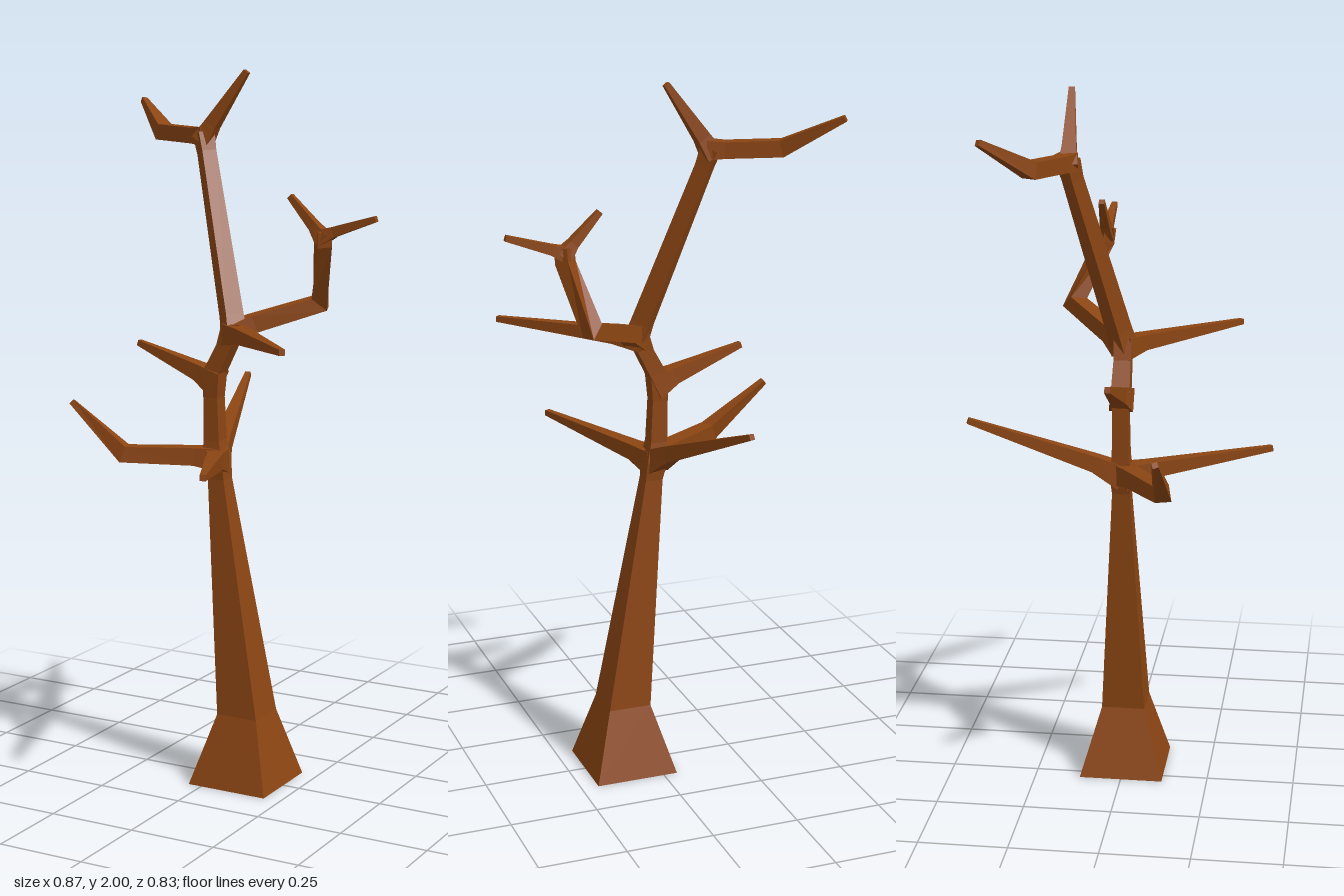
import * as THREE from 'three';

const bark = new THREE.MeshStandardMaterial({ color: 0x8b4513, flatShading: true });

// Skins a list of four-cornered rings and caps both ends.
function skin(name, rings) {
  const pos = [];
  const quad = (a, b, c, d) => [a, b, c, a, c, d].forEach(p => pos.push(p.x, p.y, p.z));
  for (let i = 0; i < rings.length - 1; i++) {
    for (let k = 0; k < 4; k++) {
      const n = (k + 1) % 4;
      quad(rings[i][k], rings[i][n], rings[i + 1][n], rings[i + 1][k]);
    }
  }
  const first = rings[0], last = rings[rings.length - 1];
  quad(first[3], first[2], first[1], first[0]);
  quad(last[0], last[1], last[2], last[3]);
  const geo = new THREE.BufferGeometry();
  geo.setAttribute('position', new THREE.Float32BufferAttribute(pos, 3));
  geo.computeVertexNormals();
  const mesh = new THREE.Mesh(geo, bark);
  mesh.name = name;
  return mesh;
}

const corners = [[1, 1], [-1, 1], [-1, -1], [1, -1]];

// Square limb along [x, y, z, half width] points, mitred at each bend.
function limb(name, path) {
  const pts = path.map(p => new THREE.Vector3(p[0], p[1], p[2]));
  const dirs = pts.slice(1).map((p, i) => p.clone().sub(pts[i]).normalize());
  let side = dirs[0].clone().cross(new THREE.Vector3(0, 1, 0)).normalize();
  const rings = pts.map((p, i) => {
    const d = dirs[Math.max(i - 1, 0)];
    const plane = d.clone().add(dirs[Math.min(i, dirs.length - 1)]).normalize();
    side = side.clone().addScaledVector(d, -side.dot(d)).normalize();
    const up = side.clone().cross(d);
    return corners.map(([a, b]) => {
      const o = side.clone().multiplyScalar(a * path[i][3]).addScaledVector(up, b * path[i][3]);
      o.addScaledVector(d, -o.dot(plane) / d.dot(plane));
      return o.add(p);
    });
  });
  // Corner order runs counter-clockwise around the direction of travel
  return skin(name, rings.map(r => r.slice().reverse()));
}

// Trunk with level square rings: [x, y, half width].
function trunk(name, path) {
  return skin(name, path.map(([x, y, h]) =>
    corners.map(([a, b]) => new THREE.Vector3(x + a * h, y, -b * h))));
}

export function createModel() {
  const tree = new THREE.Group();
  tree.name = 'bareTree';

  tree.add(trunk('trunk', [
    [0.08, 0, 0.12], [0.082, 0.2, 0.062], [-0.005, 0.87, 0.025],
    [-0.015, 0.93, 0.03], [-0.02, 0.98, 0.024], [-0.024, 1.1, 0.022],
    [-0.022, 1.17, 0.026], [0.02, 1.25, 0.024], [0.04, 1.31, 0.026],
  ]));

  const limbs = {
    // Lower whorl
    lowerRightBranch: [[-0.01, 0.925, 0, 0.032], [-0.07, 0.935, 0.035, 0.025],
      [-0.235, 0.943, 0.138, 0.022], [-0.405, 1.075, 0.138, 0.008]],
    lowerFrontBranch: [[-0.015, 0.92, 0, 0.034], [0.018, 0.933, 0.07, 0.023], [0.17, 0.963, 0.41, 0.008]],
    lowerBackBranch: [[-0.015, 0.92, 0, 0.034], [-0.035, 0.962, -0.075, 0.023], [-0.135, 1.1, -0.41, 0.008]],
    // Middle twig
    middleTwig: [[-0.01, 1.14, 0, 0.034], [-0.07, 1.168, -0.002, 0.023], [-0.27, 1.236, -0.005, 0.008]],
    // Upper fork
    upperFrontBranch: [[0.03, 1.28, 0, 0.03], [0.085, 1.285, 0.045, 0.022], [0.345, 1.29, 0.305, 0.008]],
    upperLeftBranch: [[0.035, 1.28, 0, 0.03], [0.075, 1.308, -0.04, 0.024],
      [0.222, 1.36, -0.165, 0.022], [0.268, 1.53, -0.085, 0.02], [0.27, 1.57, -0.08, 0.02]],
    upperLeftOuterTwig: [[0.262, 1.55, -0.08, 0.022], [0.305, 1.568, -0.08, 0.014], [0.43, 1.608, -0.078, 0.008]],
    upperLeftInnerTwig: [[0.275, 1.545, -0.08, 0.022], [0.245, 1.58, -0.08, 0.014], [0.17, 1.66, -0.08, 0.008]],
    leader: [[0.045, 1.26, 0.005, 0.03], [0.025, 1.33, -0.012, 0.026],
      [-0.112, 1.77, -0.118, 0.021], [-0.127, 1.82, -0.128, 0.024]],
    leaderSideBranch: [[-0.115, 1.815, -0.125, 0.026], [-0.16, 1.815, -0.142, 0.022],
      [-0.3, 1.82, -0.2, 0.022], [-0.43, 1.907, -0.308, 0.008]],
    leaderTopTwig: [[-0.13, 1.8, -0.126, 0.026], [-0.1, 1.847, -0.128, 0.019], [0.005, 1.994, -0.136, 0.008]],
  };
  for (const [name, path] of Object.entries(limbs)) tree.add(limb(name, path));
  return tree;
}
